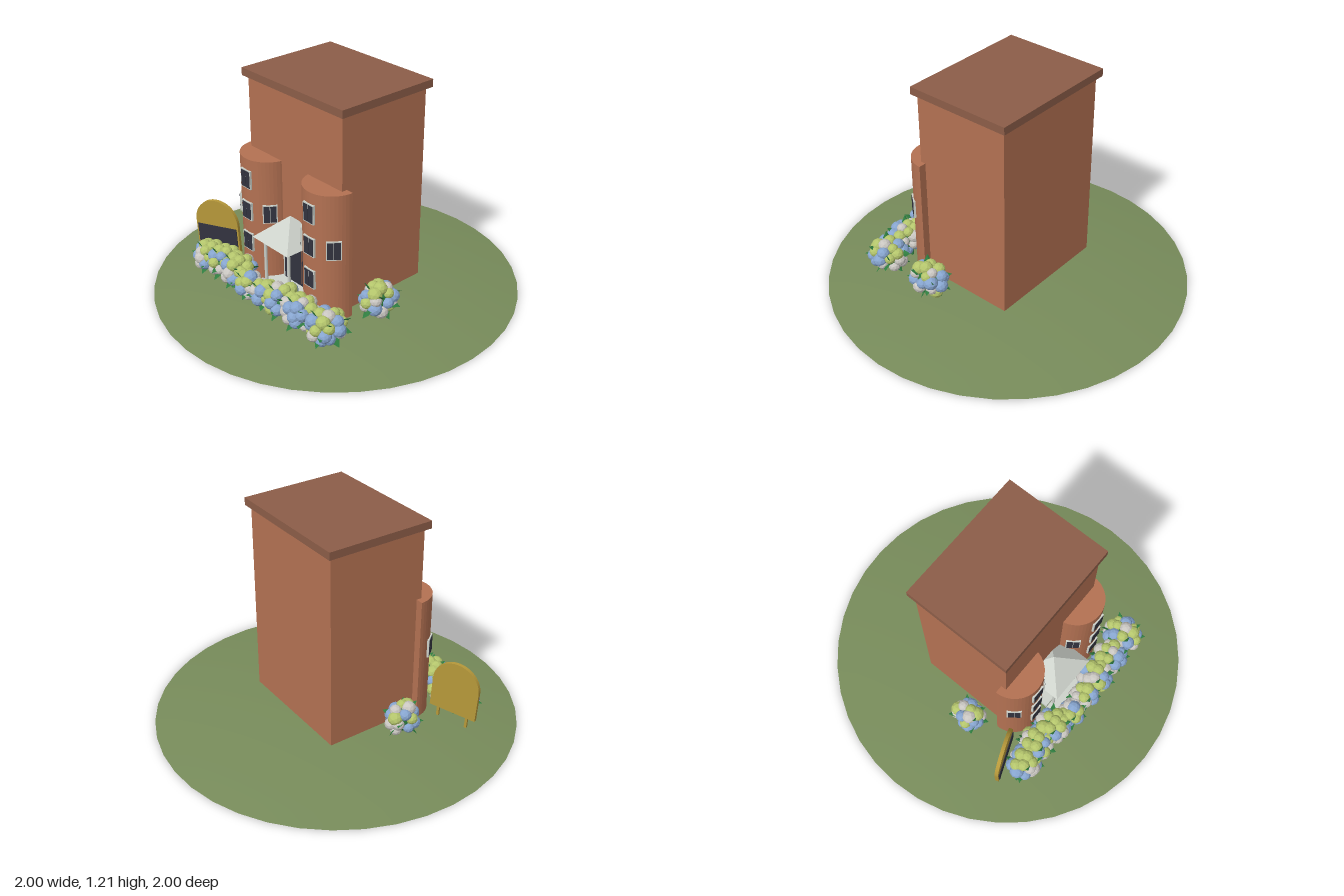
import * as THREE from 'three';
import { mergeGeometries } from 'three/addons/utils/BufferGeometryUtils.js';

const mat = (name, color) => {
  const m = new THREE.MeshStandardMaterial({ color });
  m.name = name;
  return m;
};

export function createModel() {
  const brick = mat('brick', 0xb37152), roofBrown = mat('roof brown', 0x8c5d48);
  const grass = mat('grass green', 0x778b5a), trim = mat('pale trim', 0xcdd2cb);
  const glass = mat('dark glass', 0x32333f), gold = mat('sign gold', 0xb6983a);
  const white = mat('white bloom', 0xc9c6c1), blue = mat('blue bloom', 0x87a5cf);
  const lime = mat('lime bloom', 0xb4c56c), leaf = mat('leaf green', 0x2f7c3f);
  grass.side = THREE.DoubleSide;

  const model = new THREE.Group();
  model.name = 'townhouse';
  const add = (parent, name, geo, material, x = 0, y = 0, z = 0) => {
    const m = new THREE.Mesh(geo, material);
    m.name = name;
    m.position.set(x, y, z);
    parent.add(m);
    return m;
  };
  const box = (parent, name, material, w, h, d, x, y, z) =>
    add(parent, name, new THREE.BoxGeometry(w, h, d), material, x, y, z);
  const group = (parent, name) => {
    const g = new THREE.Group();
    g.name = name;
    parent.add(g);
    return g;
  };
  let seed = 11;
  const rand = () => (seed = (seed * 16807) % 2147483647) / 2147483647;

  // Domed lawn, open underneath
  const groundY = (r) => 0.08 * (1 - r * r);
  const profile = [];
  for (let i = 0; i <= 10; i++) profile.push(new THREE.Vector2(1 - i / 10, groundY(1 - i / 10)));
  add(model, 'lawn', new THREE.LatheGeometry(profile, 40), grass);

  // Main block and overhanging roof slab
  box(model, 'mainBlock', brick, 0.715, 1.088, 0.56, 0, 0.621, 0);
  box(model, 'roofSlab', roofBrown, 0.765, 0.042, 0.605, 0, 1.185, 0);

  // Window: trim frame with two panes, facing +z
  const addWindow = (parent, angle, y) => {
    const g = group(parent, 'window');
    g.rotation.y = angle;
    g.position.set(0.149 * Math.sin(angle), y, 0.149 * Math.cos(angle));
    box(g, 'windowFrame', trim, 0.078, 0.106, 0.014, 0, 0, 0);
    for (const s of [-1, 1]) box(g, 'pane', glass, 0.032, 0.094, 0.006, s * 0.0175, 0, 0.006);
  };

  // Half-round bays either side of the door
  const bayShape = new THREE.Shape().absarc(0, 0, 0.15, Math.PI, 2 * Math.PI, false);
  const bayGeo = new THREE.ExtrudeGeometry(bayShape, { depth: 0.71, bevelEnabled: false, curveSegments: 12 });
  bayGeo.rotateX(-Math.PI / 2);
  for (const s of [-1, 1]) {
    const bay = group(model, s > 0 ? 'leftBay' : 'rightBay');
    bay.position.set(s * 0.25, 0, 0.25);
    add(bay, 'bayWall', bayGeo, brick, 0, 0.06, 0);
    for (const y of [0.285, 0.47, 0.655]) addWindow(bay, 0, y);
    for (const a of [-0.9, 0.9]) addWindow(bay, a, 0.47);
  }

  // Entrance: door, columns, pyramid canopy and steps
  const porch = group(model, 'porch');
  box(porch, 'doorFrame', trim, 0.19, 0.3, 0.012, 0, 0.22, 0.285);
  box(porch, 'door', glass, 0.165, 0.285, 0.008, 0, 0.22, 0.289);
  for (const s of [-1, 1]) {
    box(porch, 'doorMoulding', roofBrown, 0.004, 0.22, 0.004, s * 0.06, 0.22, 0.294);
    add(porch, 'column', new THREE.CylinderGeometry(0.009, 0.009, 0.31, 8), trim, s * 0.095, 0.22, 0.41);
  }
  box(porch, 'doorMoulding', roofBrown, 0.12, 0.004, 0.004, 0, 0.33, 0.294);
  const canopy = new THREE.ConeGeometry(0.2, 0.13, 4, 1).rotateY(Math.PI / 4).toNonIndexed();
  canopy.computeVertexNormals();
  add(porch, 'canopy', canopy, trim, 0, 0.44, 0.315);
  box(porch, 'upperStep', trim, 0.28, 0.042, 0.12, 0, 0.071, 0.335);
  box(porch, 'lowerStep', trim, 0.3, 0.03, 0.075, 0, 0.06, 0.435);

  // Arched notice board on two legs, slightly leaning
  const sign = group(model, 'noticeBoard');
  sign.position.set(-0.53, 0.28, 0.405);
  sign.rotation.set(0, 0.38, 0.06);
  const boardShape = new THREE.Shape();
  boardShape.moveTo(-0.135, -0.175);
  boardShape.lineTo(0.135, -0.175);
  boardShape.lineTo(0.135, 0);
  boardShape.absarc(0, 0, 0.135, 0, Math.PI, false);
  const boardGeo = new THREE.ExtrudeGeometry(boardShape, { depth: 0.02, bevelEnabled: false, curveSegments: 16 });
  add(sign, 'board', boardGeo, gold, 0, 0, -0.01);
  box(sign, 'darkPanel', glass, 0.25, 0.145, 0.006, 0, -0.093, 0.011);
  for (const s of [-1, 1]) box(sign, 'leg', gold, 0.014, 0.08, 0.014, s * 0.085, -0.2, 0);

  // Flowering shrubs: round blooms spread over an ellipsoid, with leaves between
  const ball = (r, x, y, z) => new THREE.IcosahedronGeometry(1, 1)
    .rotateY(rand() * 6).rotateX(rand() * 6).scale(r, r * 0.92, r).translate(x, y, z);
  const makeLeaf = (dir, x, y, z) => {
    const g = new THREE.OctahedronGeometry(1).scale(0.021, 0.005, 0.036);
    const q = new THREE.Quaternion().setFromUnitVectors(new THREE.Vector3(0, 0, 1), dir);
    return g.applyQuaternion(q).translate(x, y, z);
  };
  const addShrub = (x, z, rx, ry, rz, count) => {
    const shrub = group(model, 'shrub');
    const cy = groundY(Math.hypot(x, z)) + ry + 0.022;
    const parts = new Map([[white, []], [blue, []], [lime, []], [leaf, []]]);
    parts.get(leaf).push(new THREE.IcosahedronGeometry(1, 1).scale(rx, ry, rz).translate(x, cy, z));
    for (let i = 0; i < count; i++) {
      const up = 1 - 1.75 * (i + 0.5) / count;
      const a = i * 2.39996 + rand() * 0.5, flat = Math.sqrt(1 - up * up);
      const dir = new THREE.Vector3(Math.cos(a) * flat, up, Math.sin(a) * flat);
      const r = 0.029 + rand() * 0.012, pick = rand();
      // Lime gathers on top, blue and white lower down
      const colour = pick < 0.2 + 0.45 * Math.max(up, 0) ? lime : rand() < 0.5 ? blue : white;
      parts.get(colour).push(ball(r, x + dir.x * rx, cy + dir.y * ry, z + dir.z * rz));
      if (i % 2) {
        const d = dir.clone().applyAxisAngle(new THREE.Vector3(0, 1, 0), 0.45);
        d.y -= 0.3;
        d.normalize();
        parts.get(leaf).push(makeLeaf(d, x + d.x * (rx + 0.015), Math.max(cy + d.y * (ry + 0.015), 0.05), z + d.z * (rz + 0.015)));
      }
    }
    for (const [material, list] of parts) {
      if (!list.length) continue;
      const geo = mergeGeometries(list);
      geo.computeVertexNormals();
      add(shrub, material === leaf ? 'leaves' : 'blooms', geo, material);
    }
  };
  const shrubs = [
    [-0.47, 0.505, 0.075, 0.068, 0.06, 24], [-0.35, 0.49, 0.07, 0.072, 0.07, 24],
    [-0.22, 0.495, 0.075, 0.072, 0.072, 24], [-0.09, 0.53, 0.06, 0.058, 0.045, 18],
    [0.04, 0.525, 0.065, 0.06, 0.05, 18], [0.16, 0.505, 0.07, 0.072, 0.07, 24],
    [0.3, 0.5, 0.075, 0.072, 0.07, 24], [0.46, 0.475, 0.075, 0.07, 0.085, 26],
    [-0.465, 0.1, 0.055, 0.075, 0.07, 22], [0.48, 0.14, 0.06, 0.075, 0.085, 24],
  ];
  for (const s of shrubs) addShrub(...s);

  return model;
}
